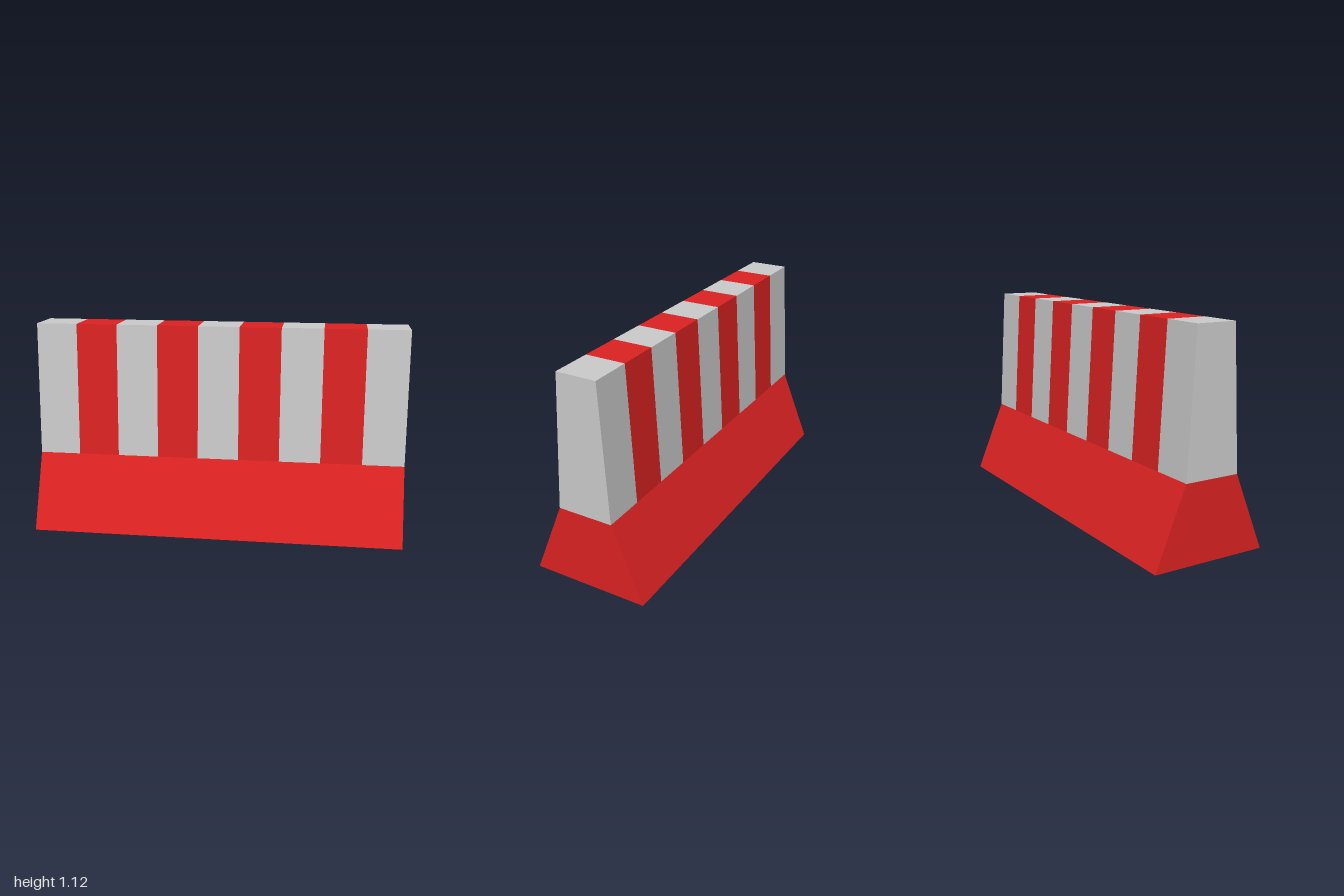
import * as THREE from 'three';

const RED = 0xdd2222, GREY = 0xcccccc;
const FACES = ['right', 'left', 'top', 'bottom', 'front', 'back']; // order used by BoxGeometry

// Box spanning x0..x1 and y0..y1 whose half depth runs from d0 (bottom) to d1 (top);
// only the listed faces are kept, so no hidden walls remain inside the barrier.
function taperedBlock(name, color, [x0, x1], [y0, y1], [d0, d1], faces) {
  const geo = new THREE.BoxGeometry(1, 1, 1);
  const pos = geo.attributes.position;
  for (let i = 0; i < pos.count; i++) {
    const upper = pos.getY(i) > 0;
    pos.setXYZ(i, pos.getX(i) > 0 ? x1 : x0, upper ? y1 : y0,
      Math.sign(pos.getZ(i)) * (upper ? d1 : d0));
  }
  const index = Array.from(geo.index.array);
  geo.setIndex(faces.flatMap(f => {
    const start = FACES.indexOf(f) * 6;
    return index.slice(start, start + 6);
  }));
  geo.clearGroups();
  geo.computeVertexNormals();
  const mesh = new THREE.Mesh(geo, new THREE.MeshStandardMaterial({ color }));
  mesh.name = name;
  return mesh;
}

export function createModel() {
  const barrier = new THREE.Group();
  barrier.name = 'roadBarrier';

  const waist = 0.403, height = 1.123;
  const footDepth = 0.312, waistDepth = 0.148, topDepth = 0.107;

  // Flared foot with a bare underside
  const foot = [[-1, 1], [0, waist], [footDepth, waistDepth]];
  barrier.add(taperedBlock('foot', RED, ...foot, ['right', 'left', 'front', 'back']));
  barrier.add(taperedBlock('underside', GREY, ...foot, ['bottom']));

  // Upper wall of nine alternating stripes
  const count = 9, width = 2 / count;
  const wall = new THREE.Group();
  wall.name = 'stripedWall';
  for (let i = 0; i < count; i++) {
    const x0 = -1 + i * width;
    const faces = ['top', 'front', 'back'];
    if (i === 0) faces.push('left');
    if (i === count - 1) faces.push('right');
    const red = i % 2 === 1;
    wall.add(taperedBlock(red ? 'redStripe' : 'greyStripe', red ? RED : GREY,
      [x0, x0 + width], [waist, height], [waistDepth, topDepth], faces));
  }
  barrier.add(wall);
  return barrier;
}
